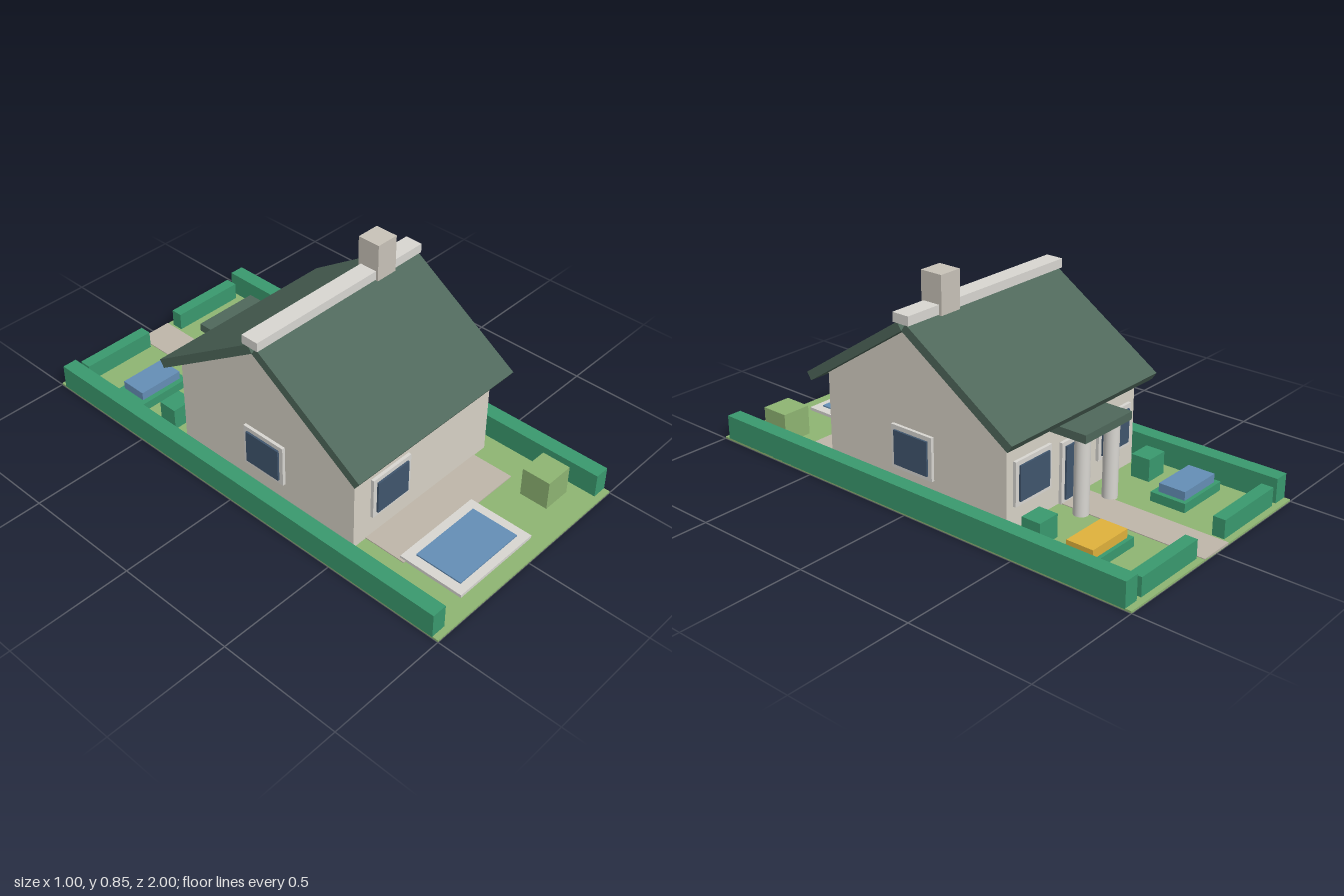
import * as THREE from 'three';

const COLORS = {
  grass: 0x8fb573, hedge: 0x3a9a6f, paving: 0xbfb7aa, wall: 0xd8d3c7, roof: 0x4f685b, trim: 0xd9d7d2,
  chimney: 0xc9c3b9, glass: 0x40566e, water: 0x658fb7, yellow: 0xe0b23c,
};
const materials = {};
for (const key in COLORS) materials[key] = new THREE.MeshStandardMaterial({ color: COLORS[key] });

const BASE = 0.008;              // top of the lawn
const RIDGE_Z = 0.065;           // centre line of the house
const RIDGE_Y = 0.672, SLOPE = 0.658;

function addMesh(parent, name, geometry, color) {
  const mesh = new THREE.Mesh(geometry, materials[color]);
  mesh.name = name;
  parent.add(mesh);
  return mesh;
}

// Box given by its limits on each axis
function box(parent, name, color, [x0, x1], [y0, y1], [z0, z1]) {
  const mesh = addMesh(parent, name, new THREE.BoxGeometry(x1 - x0, y1 - y0, z1 - z0), color);
  mesh.position.set((x0 + x1) / 2, (y0 + y1) / 2, (z0 + z1) / 2);
  return mesh;
}

// Profile of [z, y] points, extruded along x and centred on x = 0
function extrudeAlongX(parent, name, color, points, width) {
  const shape = new THREE.Shape(points.map(([z, y]) => new THREE.Vector2(-z, y)));
  const geometry = new THREE.ExtrudeGeometry(shape, { depth: width, bevelEnabled: false });
  geometry.translate(0, 0, -width / 2).rotateY(Math.PI / 2);
  return addMesh(parent, name, geometry, color);
}

// Framed panel facing +z, then turned and placed on a wall
function framedPanel(parent, name, width, height, border, x, y, z, turn) {
  const group = new THREE.Group();
  group.name = name;
  const w = width / 2, h = height / 2;
  box(group, 'frame', 'trim', [-w, w], [-h, h], [-0.005, 0.013]);
  box(group, 'pane', 'glass', [-w + border, w - border], [-h + border, h - border], [0, 0.021]);
  group.position.set(x, y, z);
  group.rotation.y = turn;
  parent.add(group);
}

export function createModel() {
  const model = new THREE.Group();
  model.name = 'houseWithGarden';

  // Plot and paving
  box(model, 'lawn', 'grass', [-0.5, 0.5], [0, BASE], [-1, 1]);
  box(model, 'path', 'paving', [-0.075, 0.075], [0.002, 0.011], [-1, -0.37]);
  box(model, 'patio', 'paving', [-0.31, 0.31], [0.002, 0.012], [0.45, 0.685]);

  // Pool and garden box
  box(model, 'poolRim', 'trim', [-0.3, 0.1], [0.004, 0.021], [0.66, 0.935]);
  box(model, 'poolWater', 'water', [-0.26, 0.06], [0.01, 0.027], [0.7, 0.9]);
  box(model, 'gardenBox', 'grass', [0.26, 0.385], [0.005, 0.131], [0.765, 0.885]);

  // Hedges, bushes and flower beds on both sides
  for (const s of [-1, 1]) {
    const span = (a, b) => (s > 0 ? [a, b] : [-b, -a]);
    box(model, 'sideHedge', 'hedge', span(0.437, 0.5), [0.005, 0.107], [-0.975, 0.975]);
    box(model, 'backHedge', 'hedge', span(0.087, 0.412), [0.005, 0.083], [-0.975, -0.925]);
    box(model, 'bush', 'hedge', span(0.277, 0.375), [0.005, 0.1], [-0.525, -0.443]);
    box(model, 'bedBase', 'hedge', span(0.157, 0.393), [0.005, 0.045], [-0.765, -0.615]);
    box(model, 'bedFlowers', s > 0 ? 'yellow' : 'water', span(0.177, 0.373), [0.04, 0.08], [-0.75, -0.637]);
  }

  // House body with gables
  const half = 0.44, eave = RIDGE_Y - half * SLOPE;
  extrudeAlongX(model, 'houseBody', 'wall', [
    [RIDGE_Z + half, 0.004], [RIDGE_Z + half, eave], [RIDGE_Z, RIDGE_Y],
    [RIDGE_Z - half, eave], [RIDGE_Z - half, 0.004],
  ], 0.75);

  // Sloping roof slabs, square cut at ridge and eaves
  const run = 0.485, drop = run * SLOPE;
  for (const s of [-1, 1]) {
    const at = (z, y) => [RIDGE_Z + s * z, RIDGE_Y + y];
    extrudeAlongX(model, s > 0 ? 'frontRoof' : 'backRoof', 'roof', [
      at(0, 0), at(run, -drop), at(run + 0.02, -drop + 0.03), at(0.02, 0.03),
    ], 0.85);
  }
  box(model, 'ridgeCap', 'trim', [-0.431, 0.431], [0.7, 0.737], [0.025, 0.1]);
  box(model, 'chimney', 'chimney', [0.175, 0.273], [0.697, 0.85], [0.013, 0.11]);

  // Windows and door
  const H = 0.175, Y = 0.188, B = 0.018;
  framedPanel(model, 'frontWindow', 0.2, H, B, -0.188, Y, 0.505, 0);
  for (const s of [-1, 1]) {
    framedPanel(model, 'sideWindow', 0.2, H, B, s * 0.375, Y, 0.067, s * Math.PI / 2);
    framedPanel(model, 'backWindow', 0.2, H, B, s * 0.24, Y, -0.375, Math.PI);
  }
  framedPanel(model, 'door', 0.16, 0.25, B, 0, 0.13, -0.375, Math.PI);

  // Porch
  box(model, 'porchRoof', 'roof', [-0.137, 0.137], [0.317, 0.35], [-0.533, -0.37]);
  for (const s of [-1, 1]) {
    const column = addMesh(model, 'porchColumn', new THREE.CylinderGeometry(0.03, 0.03, 0.312, 24), 'trim');
    column.position.set(s * 0.087, 0.162, -0.483);
  }
  return model;
}
